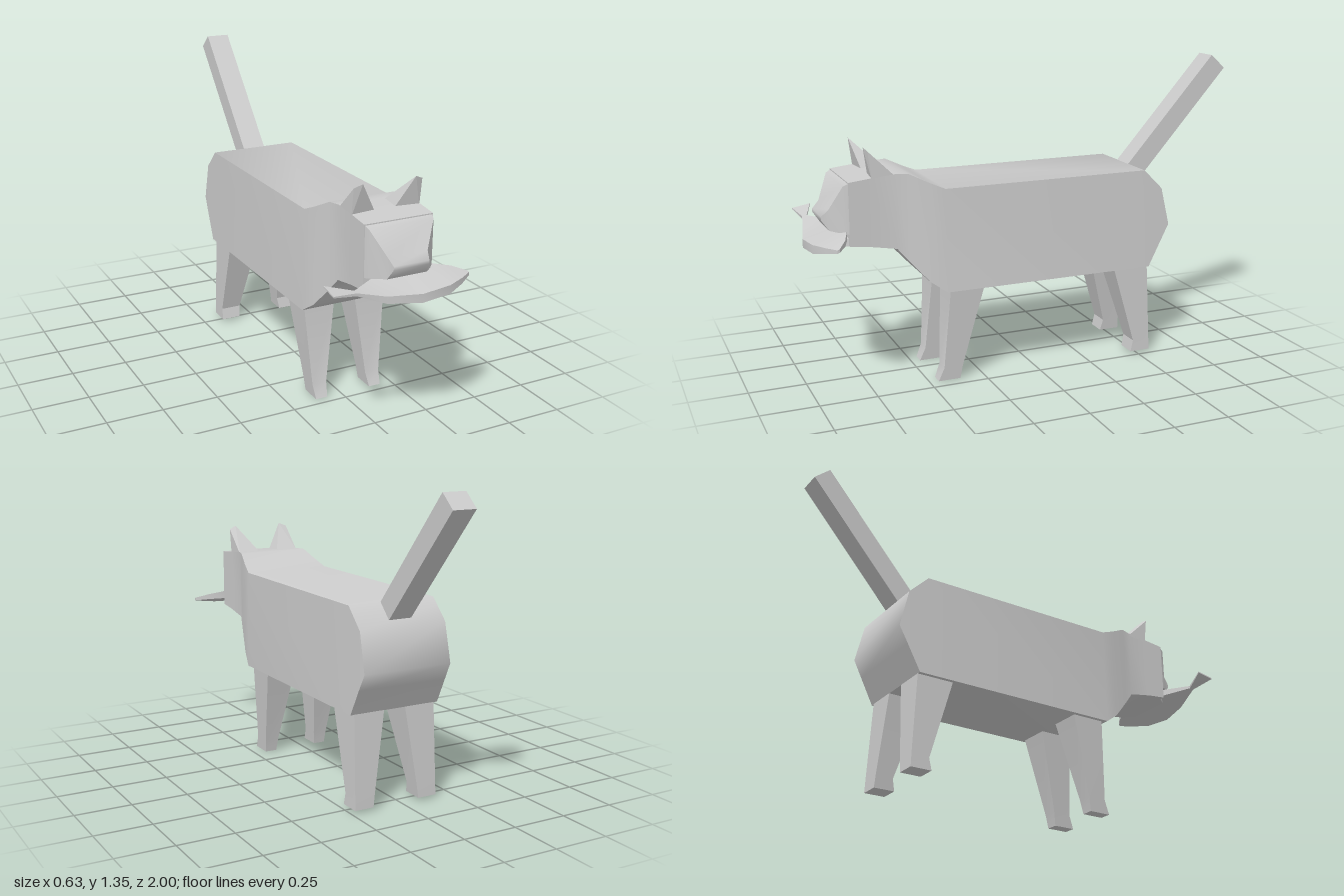
import * as THREE from 'three';
import { toCreasedNormals } from 'three/addons/utils/BufferGeometryUtils.js';
import { ConvexGeometry } from 'three/addons/geometries/ConvexGeometry.js';

const CX = 0.035; // centre line of the animal
const material = new THREE.MeshStandardMaterial({ color: 0xcccccc });

// Skins a row of four-cornered sections, closing both ends
function loft(sections, crease) {
  const pos = [];
  const quad = (a, b, c, d) => pos.push(...a, ...b, ...c, ...a, ...c, ...d);
  for (let j = 0; j < sections.length - 1; j++) {
    const s = sections[j], t = sections[j + 1];
    for (let i = 0; i < 4; i++) {
      const k = (i + 1) % 4;
      quad(s[i], s[k], t[k], t[i]);
    }
  }
  const [a, b, c, d] = sections[0];
  quad(d, c, b, a);
  quad(...sections[sections.length - 1]);
  const geo = new THREE.BufferGeometry();
  geo.setAttribute('position', new THREE.Float32BufferAttribute(pos, 3));
  return toCreasedNormals(geo, crease);
}

// Section across the body: z, bottom, top, half width below and above
const slice = ([z, y0, y1, w0, w1 = w0]) => [
  [CX - w0, y0, z], [CX + w0, y0, z], [CX + w1, y1, z], [CX - w1, y1, z],
];

// Level section of a leg: y, z range, x range from the centre line, side
const legSlice = ([y, z0, z1, a, b], side) => {
  const x0 = CX + (side > 0 ? a : -b), x1 = CX + (side > 0 ? b : -a);
  return [[x0, y, z0], [x0, y, z1], [x1, y, z1], [x1, y, z0]];
};

export function createModel() {
  const group = new THREE.Group();
  const add = (name, geo) => {
    const mesh = new THREE.Mesh(geo, material);
    mesh.name = name;
    group.add(mesh);
    return mesh;
  };

  // Body, neck and head in one skin from rump to cheeks
  add('body', loft([
    [-0.64, 0.61, 0.61, 0.207],
    [-0.60, 0.535, 0.78, 0.21, 0.205],
    [-0.54, 0.42, 0.84, 0.213, 0.205],
    [-0.51, 0.42, 0.87, 0.213, 0.205],
    [0.43, 0.42, 0.87, 0.213, 0.205],
    [0.50, 0.47, 0.90, 0.195, 0.19],
    [0.58, 0.56, 0.94, 0.17, 0.17],
    [0.63, 0.62, 0.94, 0.155],
    [0.74, 0.64, 0.93, 0.155],
    [0.83, 0.65, 0.92, 0.155],
  ].map(slice), 0.8));

  // Upper muzzle and lower jaw leave an open mouth between them
  add('muzzle', loft([
    [0.82, 0.70, 0.92, 0.155],
    [0.85, 0.705, 0.905, 0.145],
    [0.90, 0.71, 0.80, 0.09],
    [0.93, 0.755, 0.77, 0.08],
  ].map(slice), 0.8));
  add('jaw', loft([
    [0.81, 0.648, 0.69, 0.15],
    [0.86, 0.645, 0.67, 0.11],
  ].map(slice), 0.5));

  for (const side of [1, -1]) {
    const label = side > 0 ? 'left' : 'right';

    // Ear: square base rising to a short leaning ridge
    const earPoints = [
      [0.155, 0.92, 0.73], [0.045, 0.925, 0.72], [0.155, 0.93, 0.63], [0.045, 0.93, 0.63],
      [0.155, 1.04, 0.745], [0.12, 1.055, 0.755],
    ].map(([x, y, z]) => new THREE.Vector3(CX + side * x, y, z));
    add(label + 'Ear', new ConvexGeometry(earPoints));

    // Legs taper down to a small foot
    add(label + 'FrontLeg', loft([
      [0, 0.36, 0.46, 0.105, 0.16],
      [0.06, 0.35, 0.435, 0.098, 0.165],
      [0.43, 0.255, 0.41, 0.05, 0.195],
    ].map((s) => legSlice(s, side)), 0.5));
    add(label + 'BackLeg', loft([
      [0.013, -0.56, -0.465, 0.112, 0.2],
      [0.065, -0.558, -0.477, 0.105, 0.199],
      [0.43, -0.54, -0.37, 0.05, 0.195],
    ].map((s) => legSlice(s, side)), 0.5));
  }

  // Straight square tail
  const tailGeo = new THREE.BoxGeometry(0.107, 0.67, 0.092);
  tailGeo.translate(0, 0.305, 0);
  const tail = add('tail', tailGeo);
  tail.position.set(CX, 0.84, -0.543);
  tail.rotation.x = -0.725;

  // Fish held in the mouth: x, back z, front z, top, bottom, thickness
  add('fish', loft([
    [-0.32, 0.88, 0.96, 0.725, 0.705, 0.006],
    [-0.21, 0.92, 0.94, 0.70, 0.685, 0.012],
    [-0.09, 0.85, 0.965, 0.705, 0.64, 0.03],
    [0.05, 0.835, 0.997, 0.71, 0.63, 0.037],
    [0.18, 0.84, 0.985, 0.715, 0.637, 0.037],
    [0.26, 0.868, 0.95, 0.70, 0.653, 0.025],
    [0.315, 0.905, 0.915, 0.682, 0.665, 0.014],
  ].map(([x, zb, zf, top, low, t]) => [
    [x, top - t, zb], [x, top, zb], [x, low + t, zf], [x, low, zf],
  ]), 0.4));

  return group;
}
